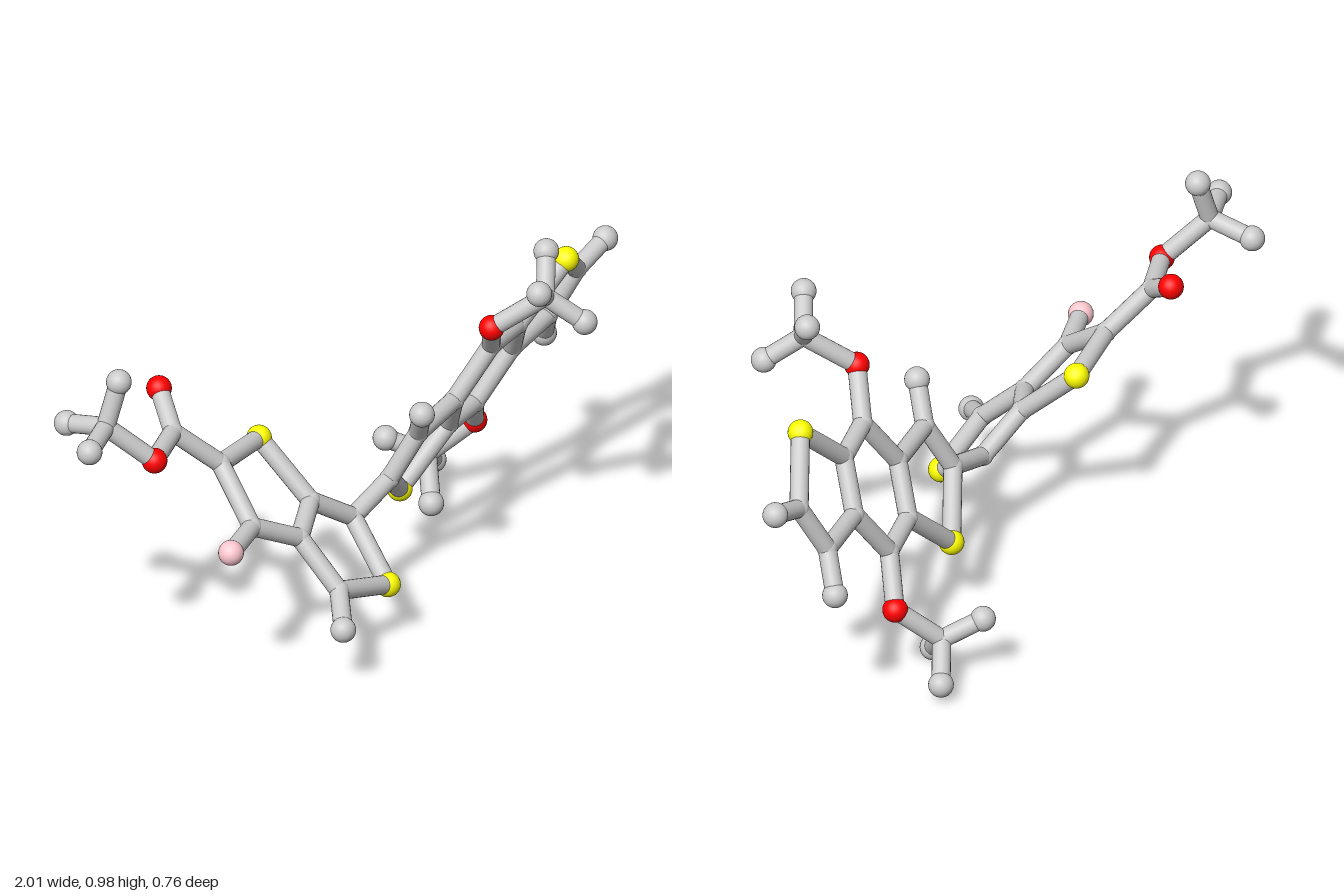
import * as THREE from 'three';

const BALL = 0.035, JOINT = 0.028, STICK = 0.026;

export function createModel() {
  const model = new THREE.Group();
  const paint = (color) => new THREE.MeshStandardMaterial({ color });
  const grey = paint(0xcccccc);
  const kinds = {
    C: { name: 'carbonJoint', r: JOINT, mat: grey },
    H: { name: 'hydrogenBall', r: BALL, mat: grey },
    S: { name: 'sulfurBall', r: BALL, mat: paint(0xffff00) },
    O: { name: 'oxygenBall', r: BALL, mat: paint(0xff0000) },
    F: { name: 'fluorineBall', r: BALL, mat: paint(0xffc8d0) },
  };
  for (const k of Object.values(kinds)) k.geo = new THREE.SphereGeometry(k.r, 24, 16);
  const stickGeo = new THREE.CylinderGeometry(STICK, STICK, 1, 20, 1, true);
  const up = new THREE.Vector3(0, 1, 0);

  const atom = (parent, kind, x, y, z) => {
    const k = kinds[kind];
    const ball = new THREE.Mesh(k.geo, k.mat);
    ball.name = k.name;
    ball.position.set(x, y, z);
    parent.add(ball);
    return ball.position;
  };
  const bond = (parent, a, b) => {
    const d = b.clone().sub(a);
    const stick = new THREE.Mesh(stickGeo, grey);
    stick.name = 'bondStick';
    stick.position.copy(a).addScaledVector(d, 0.5);
    stick.scale.y = d.length();
    stick.quaternion.setFromUnitVectors(up, d.normalize());
    parent.add(stick);
  };
  const chain = (parent, ...points) => {
    for (let i = 1; i < points.length; i++) bond(parent, points[i - 1], points[i]);
  };
  const group = (name) => {
    const g = new THREE.Group();
    g.name = name;
    model.add(g);
    return g;
  };
  // Carbon with three end balls, hung on an oxygen
  const methyl = (name, oxygen, centre, ends) => {
    const g = group(name);
    const c = atom(g, 'C', ...centre);
    bond(g, oxygen, c);
    for (const e of ends) bond(g, c, atom(g, 'H', ...e));
  };

  // Two fused five-sided rings
  const pair = group('fusedRingPair');
  const s1 = atom(pair, 'S', -0.29, 0.535, -0.13);
  const c2 = atom(pair, 'C', -0.49, 0.555, -0.075);
  const c3 = atom(pair, 'C', -0.525, 0.435, 0.083);
  const c3a = atom(pair, 'C', -0.375, 0.355, 0.115);
  const c4 = atom(pair, 'C', -0.35, 0.232, 0.242);
  const s5 = atom(pair, 'S', -0.15, 0.167, 0.227);
  const c6 = atom(pair, 'C', -0.115, 0.295, 0.055);
  const c6a = atom(pair, 'C', -0.247, 0.385, 0.026);
  chain(pair, s1, c2, c3, c3a, c4, s5, c6, c6a, s1);
  bond(pair, c3a, c6a);
  bond(pair, c3, atom(pair, 'F', -0.67, 0.437, 0.15));
  bond(pair, c4, atom(pair, 'H', -0.43, 0.18, 0.34));

  // Ester arm
  const ester = group('esterArm');
  const carbonyl = atom(ester, 'C', -0.6, 0.667, -0.147);
  const esterO = atom(ester, 'O', -0.745, 0.665, -0.07);
  chain(ester, c2, carbonyl, esterO);
  bond(ester, carbonyl, atom(ester, 'O', -0.548, 0.74, -0.254));
  methyl('esterMethyl', esterO, [-0.845, 0.775, -0.157],
    [[-0.805, 0.902, -0.147], [-0.97, 0.77, -0.092], [-0.87, 0.746, -0.283]]);

  // Three fused rings in one tilted plane: one half, then its half-turn copy
  const triple = group('fusedRingTriple');
  const halves = [1, -1].map((s) => {
    const at = (kind, u, v) => atom(triple, kind,
      0.4425 + s * u, 0.495 + s * v, -0.01 + s * (-0.302 * u + 0.491 * v));
    const h = {
      sulfur: at('S', -0.257, -0.28),
      tip: at('C', -0.402, -0.15),
      side: at('C', -0.342, -0.01),
      inner: at('C', -0.152, -0.005),
      low: at('C', -0.097, -0.131),
      high: at('C', -0.054, 0.145),
      oxygen: at('O', -0.1325, 0.262),
    };
    chain(triple, h.sulfur, h.tip, h.side, h.inner, h.low, h.sulfur);
    chain(triple, h.inner, h.high, h.oxygen);
    bond(triple, h.side, at('H', -0.39, 0.09));
    return h;
  });
  const [near, far] = halves;
  bond(triple, near.high, far.low);
  bond(triple, far.high, near.low);
  bond(triple, far.tip, atom(triple, 'H', 0.965, 0.688, -0.07));

  // Link between the two ring systems
  bond(group('ringLink'), c6, near.tip);

  // Methyl groups above and below the rings
  methyl('upperMethyl', near.oxygen, [0.41, 0.857, 0.265],
    [[0.318, 0.929, 0.335], [0.479, 0.945, 0.198], [0.479, 0.784, 0.347]]);
  methyl('lowerMethyl', far.oxygen, [0.483, 0.128, -0.267],
    [[0.414, 0.035, -0.182], [0.57, 0.05, -0.332], [0.398, 0.18, -0.343]]);

  return model;
}
